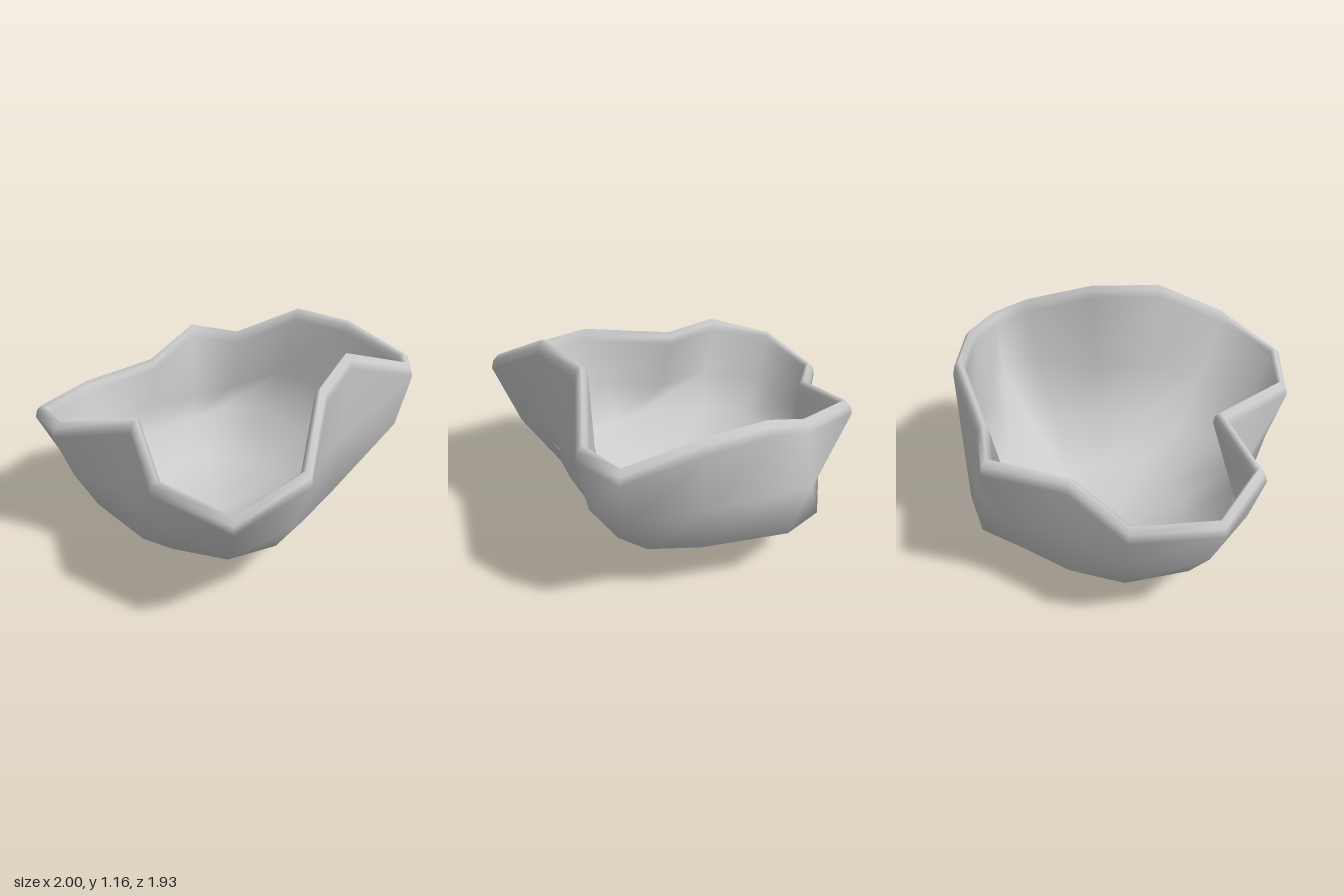
import * as THREE from 'three';

// Rim of the broken bowl, clockwise from the back tip (x, y, z)
const RIM = [
  [-0.06, 0.88, -0.965], [0.20, 0.88, -0.80], [0.535, 1.04, -0.69], [0.77, 1.04, -0.46],
  [1.0, 0.96, -0.15], [0.93, 1.0, 0.075], [0.54, 1.165, 0.235], [0.33, 1.15, 0.52],
  [0.17, 0.94, 0.87], [-0.20, 0.80, 0.965], [-0.515, 0.84, 0.64], [-0.545, 0.88, 0.15],
  [-0.915, 0.82, 0.01], [-1.0, 0.75, -0.35], [-0.72, 0.72, -0.67], [-0.35, 0.80, -0.705],
];
const N = RIM.length;
const BASE = new THREE.Vector3(-0.05, 0, -0.17);

// Wall rings: near-round at the base, following the rim more and more higher up.
// r, y: round ring; f, h: fractions of rim reach and height; mixR, mixY: blend to the rim
const WALL = [
  { r: 0.42, f: 0.41, mixR: 0.1, y: 0.13, h: 0.14, mixY: 0.1, inset: 0.02, lift: 0.05 },
  { r: 0.72, f: 0.70, mixR: 0.3, y: 0.3, h: 0.35, mixY: 0.5, inset: 0.04, lift: 0.04 },
  { r: 0.82, f: 0.90, mixR: 0.8, y: 0.5, h: 0.62, mixY: 0.8, inset: 0.055, lift: 0.015 },
];

// Places where the wall swells out beyond the broken rim: "ring,point"
const SWELL = {
  '1,0': [-0.10, 0.30, -0.79], '2,0': [-0.07, 0.46, -0.83],
  '1,1': [0.13, 0.32, -0.87], '2,1': [0.18, 0.50, -0.84],
  '1,2': [0.37, 0.34, -0.77], '2,2': [0.47, 0.62, -0.72],
  '2,4': [0.94, 0.65, -0.16], '2,5': [0.87, 0.64, 0.05],
  '1,11': [-0.53, 0.30, 0.33], '2,11': [-0.58, 0.50, 0.21],
};

// Rounded lip: inward distance and drop
const LIP = [[0, 0.07], [0.01, 0.028], [0.034, 0], [0.054, 0.02], [0.062, 0.06]];

const at = (i) => RIM[(i + N) % N];

// Mitred inward direction of the rim, seen from above
function inward(i) {
  const edge = (a, b) => new THREE.Vector2(-(b[2] - a[2]), b[0] - a[0]).normalize();
  const n0 = edge(at(i - 1), at(i));
  const n = n0.clone().add(edge(at(i), at(i + 1))).normalize();
  return n.multiplyScalar(Math.min(1.5, 1 / n.dot(n0)));
}

function wallPoint(k, i) {
  const special = SWELL[`${k},${i}`];
  if (special) return new THREE.Vector3(...special);
  const w = WALL[k];
  const [x, y, z] = at(i);
  const out = new THREE.Vector3(x - BASE.x, 0, z - BASE.z);
  out.setLength(THREE.MathUtils.lerp(w.r, w.f * out.length(), w.mixR));
  return out.add(BASE).setY(THREE.MathUtils.lerp(w.y, w.h * y, w.mixY));
}

function innerPoint(k, i) {
  const p = wallPoint(k, i);
  const toAxis = BASE.clone().sub(p).setY(0).normalize();
  p.addScaledVector(toAxis, WALL[k].inset);
  p.y += WALL[k].lift;
  return p;
}

function lipPoint([inset, drop], i) {
  const n = inward(i);
  const [x, y, z] = at(i);
  return new THREE.Vector3(x + n.x * inset, y - drop, z + n.y * inset);
}

// Closed shell: outer wall up, over the lip, inner wall down
function shellGeometry() {
  const ring = (fn) => RIM.map((_, i) => fn(i));
  const loops = [
    ...WALL.map((_, k) => ring((i) => wallPoint(k, i))),
    ...LIP.map((l) => ring((i) => lipPoint(l, i))),
    ...[2, 1, 0].map((k) => ring((i) => innerPoint(k, i))),
  ];
  const points = [...loops.flat(), BASE.clone(), BASE.clone().setY(0.055)];
  const outerPole = points.length - 2, innerPole = points.length - 1;
  const last = (loops.length - 1) * N;
  const index = [];
  for (let i = 0; i < N; i++) {
    const j = (i + 1) % N;
    index.push(outerPole, i, j);
    for (let k = 0; k < loops.length - 1; k++) {
      const a = k * N + i, b = k * N + j;
      index.push(a, a + N, b, b, a + N, b + N);
    }
    index.push(last + i, innerPole, last + j);
  }
  const geometry = new THREE.BufferGeometry().setFromPoints(points);
  geometry.setIndex(index);
  geometry.computeVertexNormals();
  return geometry;
}

export function createModel() {
  const group = new THREE.Group();
  group.name = 'brokenBowl';
  const shell = new THREE.Mesh(
    shellGeometry(),
    new THREE.MeshStandardMaterial({ color: 0xcccccc }),
  );
  shell.name = 'shell';
  group.add(shell);
  return group;
}
